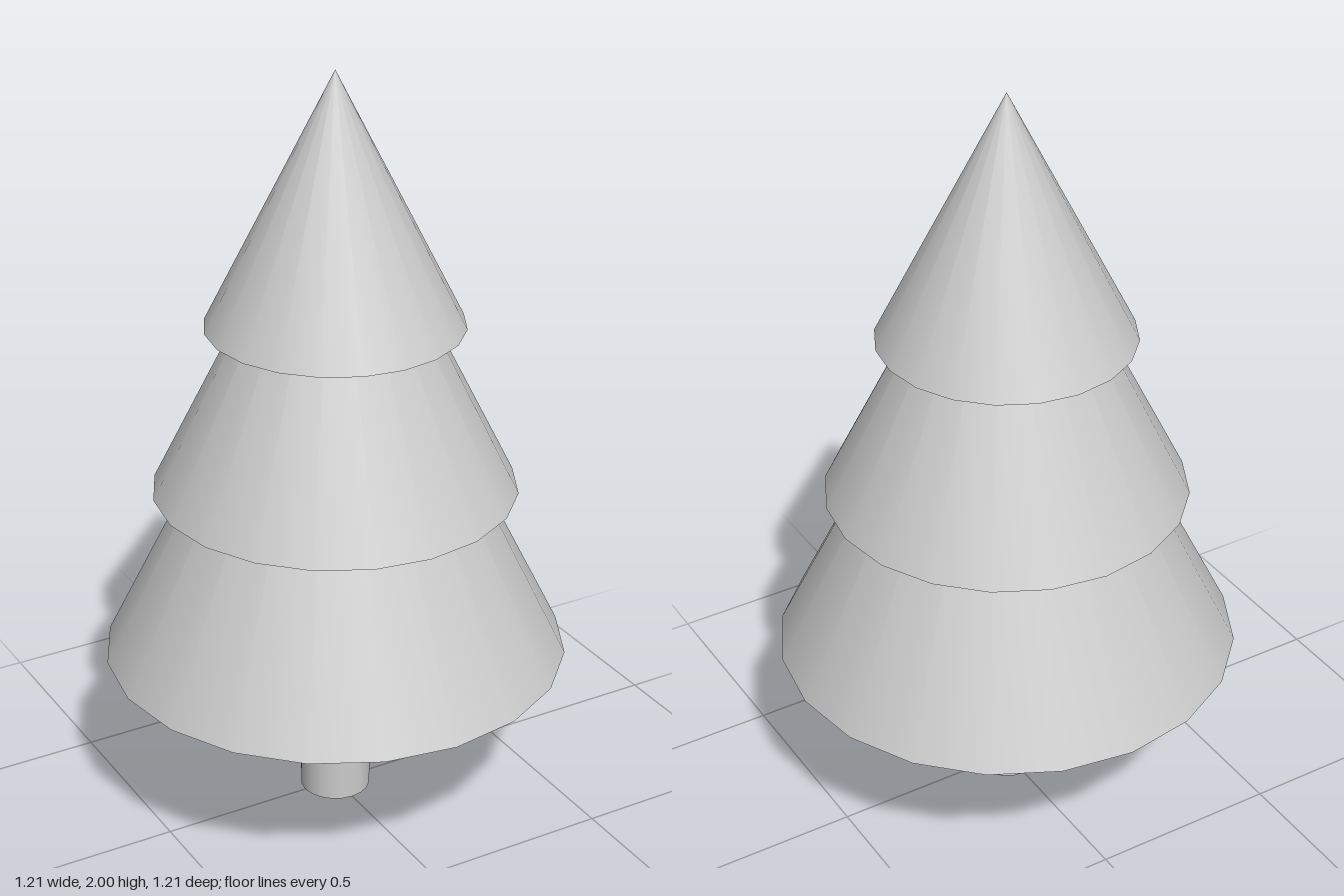
import * as THREE from 'three';

const SIDES = 20;

export function createModel() {
  const tree = new THREE.Group();
  tree.name = 'tree';
  const material = new THREE.MeshStandardMaterial({ color: 0xcccccc });

  const add = (name, geometry, bottom, height) => {
    const mesh = new THREE.Mesh(geometry, material);
    mesh.name = name;
    mesh.position.y = bottom + height / 2;
    tree.add(mesh);
  };

  // Trunk, running a little way up into the lowest tier
  add('trunk', new THREE.CylinderGeometry(0.093, 0.093, 0.5, SIDES), 0, 0.5);

  // Overlapping foliage cones: [name, radius, bottom, height]
  const tiers = [
    ['lowerFoliage', 0.605, 0.44, 1.22],
    ['middleFoliage', 0.47, 0.9, 0.945],
    ['upperFoliage', 0.33, 1.345, 0.655],
  ];
  for (const [name, radius, bottom, height] of tiers) {
    add(name, new THREE.ConeGeometry(radius, height, SIDES), bottom, height);
  }

  return tree;
}
